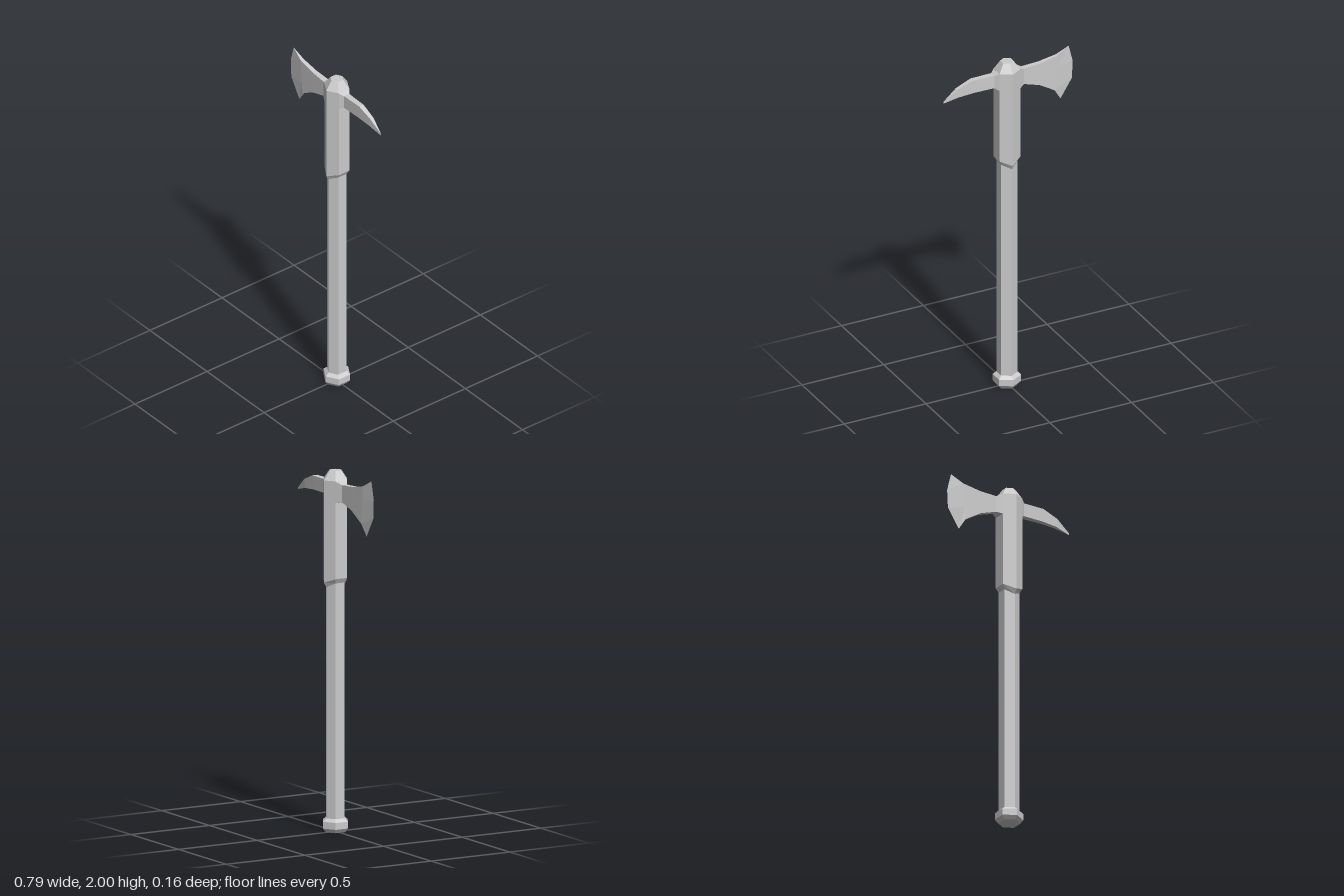
import * as THREE from 'three';

const material = new THREE.MeshStandardMaterial({ color: 0xcccccc, flatShading: true });
const AXIS_X = 0.005; // the haft sits slightly off centre

// Six-sided turned part with a corner facing the front; profile is [radius, y] from bottom to top
function hexTurned(name, profile) {
  const points = profile.map(([r, y]) => new THREE.Vector2(r, y));
  const mesh = new THREE.Mesh(new THREE.LatheGeometry(points, 6), material);
  mesh.name = name;
  mesh.position.x = AXIS_X;
  return mesh;
}

// Lofted blade: each section has rows [x, y] from top to bottom and a half thickness
function loftedBlade(name, sections, towardsLeft) {
  const rows = sections[0].rows.length;
  const ring = rows * 2;
  const positions = [];
  const indices = [];
  for (const { rows: line, half } of sections) {
    line.forEach(([x, y]) => positions.push(x, y, half));
    [...line].reverse().forEach(([x, y]) => positions.push(x, y, -half));
  }
  for (let i = 0; i < sections.length - 1; i++) {
    for (let j = 0; j < ring; j++) {
      const a = i * ring + j;
      const b = i * ring + (j + 1) % ring;
      const c = b + ring;
      const d = a + ring;
      if (towardsLeft) indices.push(a, b, c, a, c, d);
      else indices.push(a, c, b, a, d, c);
    }
  }
  const indexed = new THREE.BufferGeometry();
  indexed.setAttribute('position', new THREE.Float32BufferAttribute(positions, 3));
  indexed.setIndex(indices);
  const geometry = indexed.toNonIndexed();
  geometry.computeVertexNormals();
  const mesh = new THREE.Mesh(geometry, material);
  mesh.name = name;
  return mesh;
}

// Straight section split into a number of evenly spaced rows
function section(top, bottom, half, count) {
  const rows = [];
  for (let k = 0; k < count; k++) {
    const t = k / (count - 1);
    rows.push([
      THREE.MathUtils.lerp(top[0], bottom[0], t),
      THREE.MathUtils.lerp(top[1], bottom[1], t),
    ]);
  }
  return { rows, half };
}

export function createModel() {
  const model = new THREE.Group();
  model.name = 'battleAxe';

  // Haft and pommel
  model.add(hexTurned('haft', [[0.057, 0.05], [0.057, 1.42]]));
  model.add(hexTurned('pommel', [
    [0, 0], [0.06, 0], [0.078, 0.022], [0.078, 0.06], [0.057, 0.077],
  ]));

  // Head socket with bevelled cap; its lower rim rises at the side corners
  const socket = hexTurned('socket', [
    [0.056, 1.355], [0.073, 1.383], [0.073, 1.95], [0.037, 2], [0, 2],
  ]);
  const pos = socket.geometry.attributes.position;
  for (let i = 0; i < pos.count; i++) {
    if (pos.getY(i) < 1.5 && Math.abs(pos.getX(i)) > 0.01) pos.setY(i, pos.getY(i) + 0.026);
  }
  socket.geometry.computeVertexNormals();
  model.add(socket);

  // Axe blade, flaring out to a sharp curved edge
  model.add(loftedBlade('axeBlade', [
    section([-0.057, 1.95], [-0.057, 1.83], 0.037, 4),
    section([-0.091, 1.934], [-0.091, 1.84], 0.017, 4),
    section([-0.193, 1.94], [-0.188, 1.808], 0.014, 4),
    section([-0.3, 1.96], [-0.283, 1.75], 0.01, 4),
    { rows: [[-0.373, 2], [-0.398, 1.9], [-0.393, 1.795], [-0.323, 1.685]], half: 0 },
  ], false));

  // Back spike, curving down to a point
  model.add(loftedBlade('backSpike', [
    section([0.067, 1.95], [0.067, 1.845], 0.037, 2),
    section([0.091, 1.937], [0.091, 1.86], 0.018, 2),
    section([0.22, 1.937], [0.21, 1.86], 0.015, 2),
    section([0.312, 1.902], [0.305, 1.853], 0.011, 2),
    section([0.394, 1.842], [0.394, 1.831], 0, 2),
  ], true));

  return model;
}
